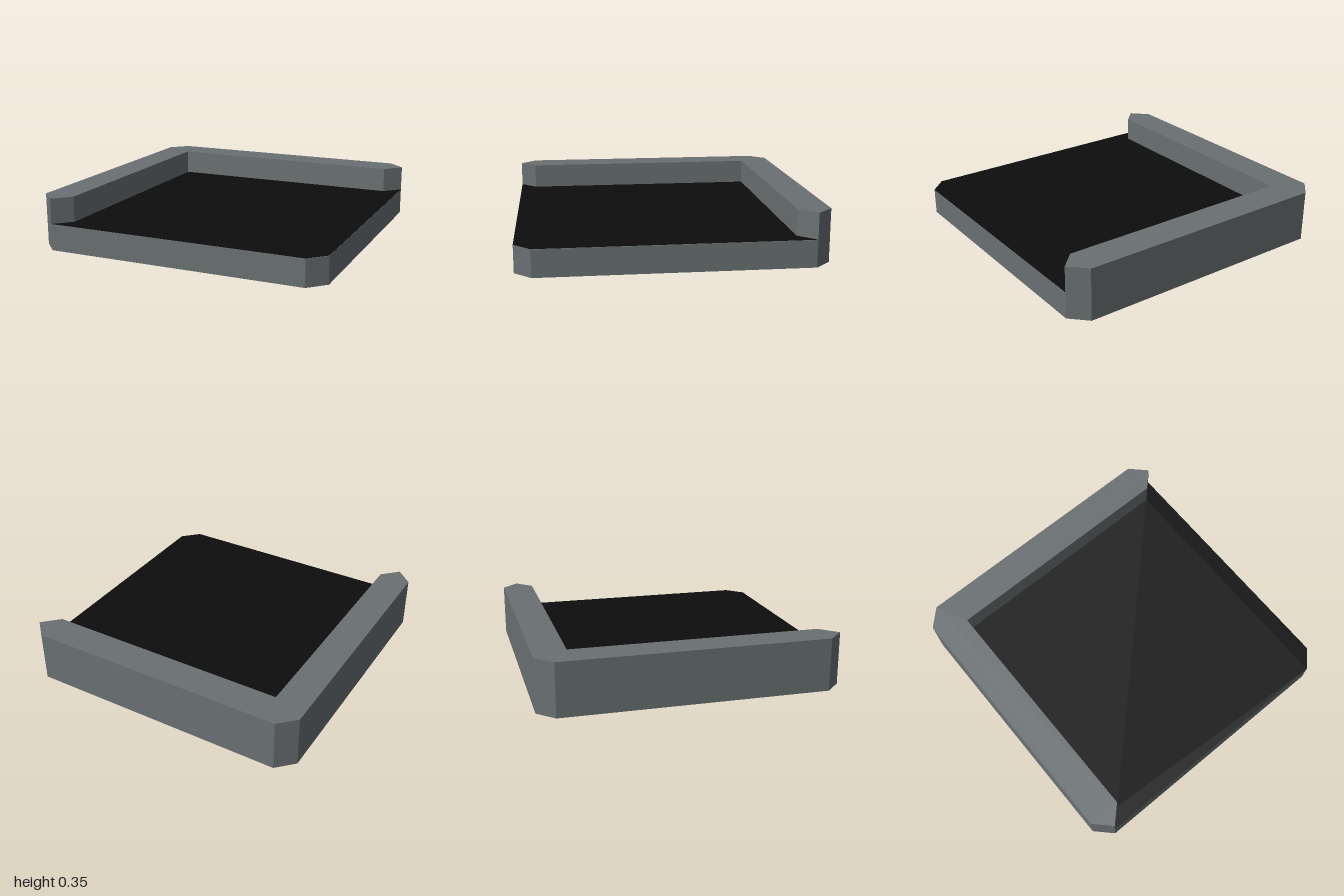
import * as THREE from 'three';

const HALF = 1, CUT = 0.89, INNER = 0.78; // outer edge, chamfer start, inner wall face
const FLOOR_Y = 0.18, TOP_Y = 0.355;

// Shape from plan points [x, z]
const plan = (points) => new THREE.Shape(points.map(([x, z]) => new THREE.Vector2(x, -z)));

// Vertical prism over a plan outline
function prism(name, points, y0, y1, material) {
  const geometry = new THREE.ExtrudeGeometry(plan(points), { depth: y1 - y0, bevelEnabled: false });
  geometry.rotateX(-Math.PI / 2).translate(0, y0, 0);
  const mesh = new THREE.Mesh(geometry, material);
  mesh.name = name;
  return mesh;
}

export function createModel() {
  const stone = new THREE.MeshStandardMaterial({ color: 0x6a7072 });
  stone.name = 'stone grey';
  const black = new THREE.MeshStandardMaterial({ color: 0x0d0d0d });
  black.name = 'floor black';

  const model = new THREE.Group();
  model.name = 'cornerTile';

  // Square base with four chamfered corners
  model.add(prism('base', [
    [-HALF, -CUT], [-CUT, -HALF], [CUT, -HALF], [HALF, -CUT],
    [HALF, CUT], [CUT, HALF], [-CUT, HALF], [-HALF, CUT],
  ], 0, FLOOR_Y, stone));

  // L-shaped wall along the back and right, with pointed ends
  model.add(prism('cornerWall', [
    [-HALF, -CUT], [-CUT, -HALF], [CUT, -HALF], [HALF, -CUT], [CUT, -INNER],
    [-INNER, -INNER], [-INNER, CUT], [-CUT, HALF], [-HALF, CUT],
  ], FLOOR_Y, TOP_Y, stone));

  // Black floor sheet inside the wall
  const floorGeometry = new THREE.ShapeGeometry(plan([
    [-INNER, -INNER], [CUT, -INNER], [HALF, -CUT], [HALF, CUT],
    [CUT, HALF], [-CUT, HALF], [-INNER, CUT],
  ]));
  floorGeometry.rotateX(-Math.PI / 2).translate(0, FLOOR_Y + 0.002, 0);
  const floor = new THREE.Mesh(floorGeometry, black);
  floor.name = 'floor';
  model.add(floor);

  return model;
}
